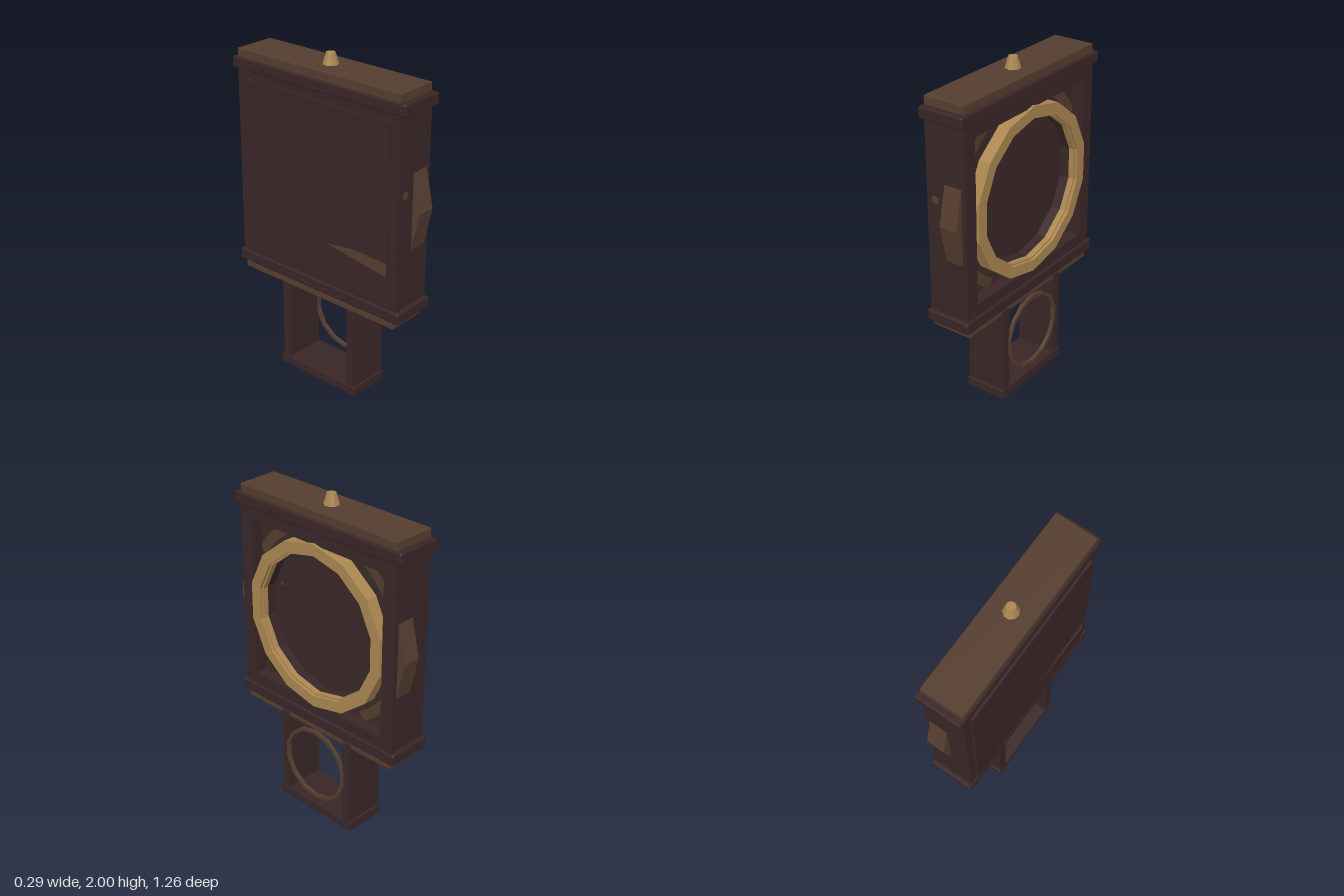
import * as THREE from 'three';
import { RoundedBoxGeometry } from 'three/addons/geometries/RoundedBoxGeometry.js';

const mat = (name, color) => Object.assign(new THREE.MeshStandardMaterial({ color }), { name });

export function createModel() {
  const root = new THREE.Group();
  const darkWood = mat('dark wood', 0x392627);
  const brownWood = mat('brown wood', 0x553d2f);
  const brass = mat('brass', 0xaa8650);
  const shadowWood = mat('dusky wood', 0x3a2b26);

  const add = (name, geometry, material) => {
    const mesh = new THREE.Mesh(geometry, material);
    mesh.name = name;
    root.add(mesh);
    return mesh;
  };
  // Box given by its limits on each axis, optionally with softened edges
  const box = (name, [x0, x1], [y0, y1], [z0, z1], material, bevel = 0) => {
    const size = [x1 - x0, y1 - y0, z1 - z0];
    const g = bevel ? new RoundedBoxGeometry(...size, 1, bevel) : new THREE.BoxGeometry(...size);
    g.translate((x0 + x1) / 2, (y0 + y1) / 2, (z0 + z1) / 2);
    return add(name, g, material);
  };
  // Faceted ring turned around the x axis; profile is [radius, x] going round the section
  const turned = (name, profile, y, material) => {
    let g = new THREE.LatheGeometry(profile.map(p => new THREE.Vector2(...p)), 14, Math.PI / 2);
    g.rotateZ(-Math.PI / 2).translate(0, y, 0);
    g = g.toNonIndexed();
    g.computeVertexNormals();
    return add(name, g, material);
  };
  // Thin flat shape on a plane facing +x, drawn as (-z, y)
  const facing = (name, g, x, y, z, material) => {
    g.rotateY(Math.PI / 2).translate(x, y, z);
    return add(name, g, material);
  };

  const cy = 1.247;

  // Case: square frame open towards +x
  const frame = new THREE.Shape();
  frame.moveTo(-0.58, 0.62).lineTo(0.58, 0.62).lineTo(0.58, 1.885).lineTo(-0.58, 1.885).closePath();
  const opening = new THREE.Path();
  opening.moveTo(-0.495, 0.755).lineTo(-0.495, 1.74).lineTo(0.495, 1.74).lineTo(0.495, 0.755).closePath();
  frame.holes.push(opening);
  facing('caseFrame', new THREE.ExtrudeGeometry(frame, { depth: 0.257, bevelEnabled: false }),
    -0.13, 0, 0, darkWood);
  box('backPanel', [-0.145, -0.125], [0.73, 1.77], [-0.525, 0.525], darkWood);

  // Recessed dial surround with a round opening
  const surround = new THREE.Shape();
  surround.moveTo(-0.5, -0.5).lineTo(0.5, -0.5).lineTo(0.5, 0.5).lineTo(-0.5, 0.5).closePath();
  surround.holes.push(new THREE.Path().absarc(0, 0, 0.43, 0, Math.PI * 2, true));
  facing('dialSurround', new THREE.ExtrudeGeometry(surround, { depth: 0.02, bevelEnabled: false, curveSegments: 14 }),
    0.03, cy, 0, shadowWood);
  for (let i = 0; i < 4; i++) {
    const mid = Math.PI / 4 + i * Math.PI / 2;
    facing('cornerBand', new THREE.RingGeometry(0.53, 0.59, 10, 1, mid - 0.25, 0.5),
      0.053, cy, 0, brownWood);
  }

  // Dial, its deep rim and the brass bezel
  facing('dial', new THREE.CircleGeometry(0.44, 28), 0.03, cy, 0, darkWood);
  turned('dialRim', [[0.43, 0.11], [0.43, 0.03]], cy, darkWood);
  turned('bezel', [[0.505, 0.07], [0.505, 0.143], [0.437, 0.143], [0.437, 0.125],
    [0.427, 0.125], [0.427, 0.09], [0.505, 0.07]], cy, brass);
  facing('dialStud', new THREE.CircleGeometry(0.014, 10), 0.034, 1.365, 0.355, brownWood);

  // Mouldings and boards above and below the case
  box('cornice', [-0.142, 0.142], [1.815, 1.885], [-0.615, 0.615], darkWood, 0.012);
  box('topCap', [-0.132, 0.125], [1.88, 1.935], [-0.578, 0.578], brownWood, 0.006);
  box('lowerMoulding', [-0.142, 0.142], [0.615, 0.685], [-0.605, 0.605], darkWood, 0.012);
  box('baseBoard', [-0.132, 0.125], [0.57, 0.62], [-0.565, 0.565], brownWood, 0.006);

  // Finial
  const finial = new THREE.CylinderGeometry(0.026, 0.046, 0.067, 9).toNonIndexed();
  finial.computeVertexNormals();
  finial.translate(-0.004, 1.9665, 0);
  add('finial', finial, brass);

  // Pointed plates on both sides
  for (const s of [-1, 1]) {
    const wedge = new THREE.Shape();
    wedge.moveTo(0.575, 1.0).lineTo(0.63, 1.247).lineTo(0.575, 1.495).closePath();
    const g = new THREE.ExtrudeGeometry(wedge, { depth: 0.11, bevelEnabled: false });
    g.rotateY(s * Math.PI / 2).translate(s > 0 ? -0.01 : 0.1, 0, 0);
    add('sidePlate', g, brownWood);
  }
  const spot = new THREE.CircleGeometry(0.024, 12);
  spot.translate(-0.075, 1.365, 0.582);
  add('sideStud', spot, brownWood);

  // Worn streak on the back panel
  const streak = new THREE.Shape();
  streak.moveTo(0.09, 0.95).lineTo(0.52, 0.89).lineTo(0.52, 0.97).lineTo(0.3, 0.98).closePath();
  const streakGeometry = new THREE.ShapeGeometry(streak);
  streakGeometry.rotateY(-Math.PI / 2).translate(-0.147, 0, 0);
  add('backStreak', streakGeometry, brownWood);

  // Pendulum box: two legs, a foot board and a hoop at the front
  for (const s of [-1, 1]) {
    const z = [s * 0.222, s * 0.275].sort((a, b) => a - b);
    box('leg', [-0.118, 0.135], [0.04, 0.6], z, darkWood);
  }
  box('footBoard', [-0.122, 0.14], [0, 0.058], [-0.29, 0.29], darkWood, 0.005);
  turned('pendulumHoop', [[0.237, 0.123], [0.237, 0.143], [0.216, 0.143], [0.216, 0.123],
    [0.237, 0.123]], 0.338, brownWood);

  // Show the inner side of open sheets
  for (const m of [darkWood, brownWood]) m.side = THREE.DoubleSide;
  return root;
}
